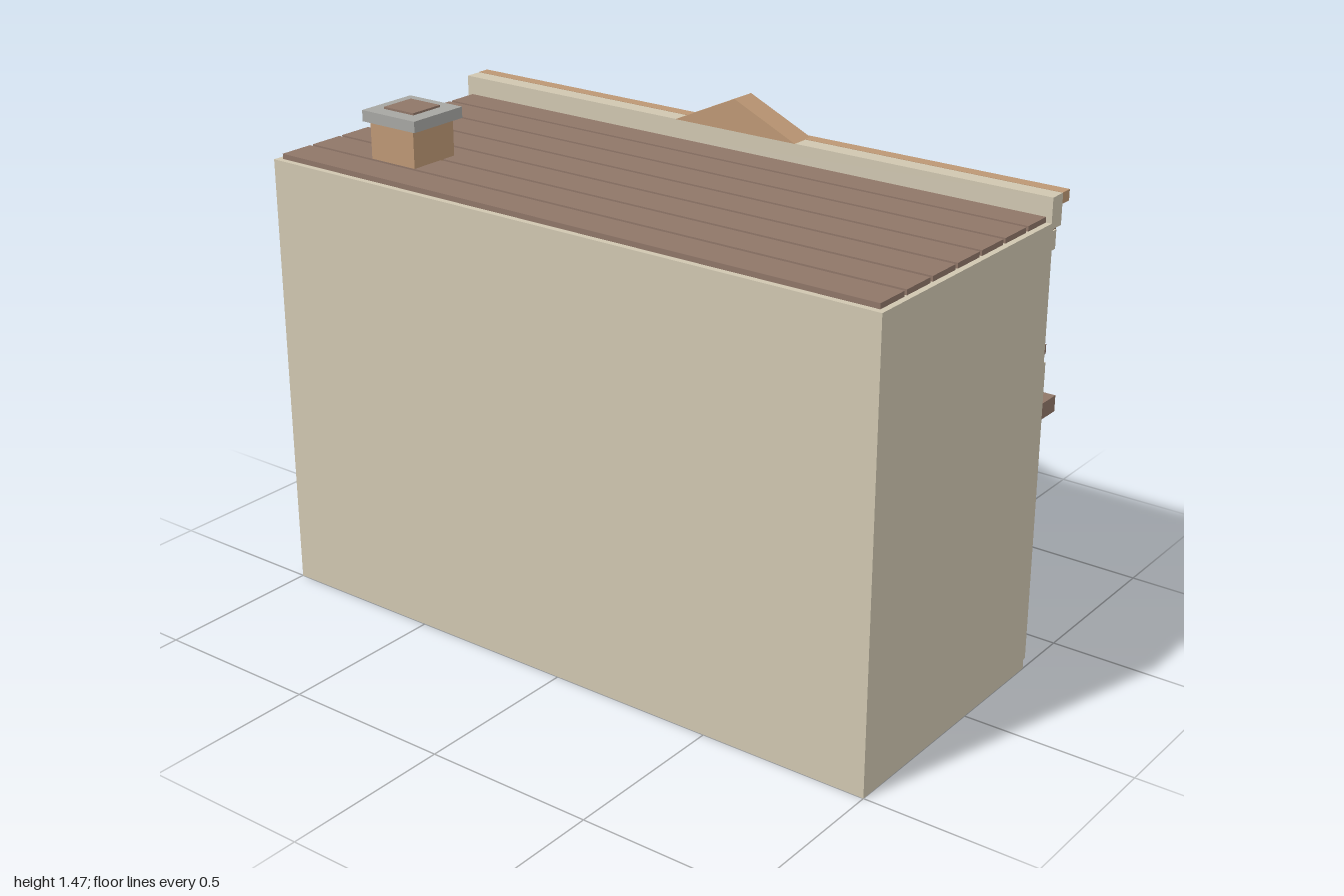
import * as THREE from 'three';

const mat = (name, color) => {
  const m = new THREE.MeshStandardMaterial({ color });
  m.name = name;
  return m;
};

export function createModel() {
  const root = new THREE.Group();
  root.name = 'saloonBuilding';
  const cream = mat('creamWall', 0xcfc6b0);
  const brown = mat('brownWood', 0x8f7668);
  const tan = mat('tanWood', 0xbc9774);
  const grey = mat('greyStone', 0xa6a6a2);
  const blue = mat('darkGlass', 0x565a7a);
  const yellow = mat('litGlass', 0xd0c187);
  const gold = mat('brass', 0xc8aa60);

  // Box given by its min and max corners
  const box = (parent, name, m, x0, x1, y0, y1, z0, z1) => {
    const mesh = new THREE.Mesh(new THREE.BoxGeometry(x1 - x0, y1 - y0, z1 - z0), m);
    mesh.position.set((x0 + x1) / 2, (y0 + y1) / 2, (z0 + z1) / 2);
    mesh.name = name;
    parent.add(mesh);
    return mesh;
  };
  const group = (name) => {
    const g = new THREE.Group();
    g.name = name;
    root.add(g);
    return g;
  };
  let seed = 7;
  const rand = () => (seed = (seed * 16807) % 2147483647) / 2147483647;

  // Main block
  box(root, 'mainWalls', cream, -1, 1, 0, 1.305, -0.32, 0.5);

  // Roof boards
  const roof = group('roof');
  for (let i = 0; i < 7; i++) {
    const z = 0.482 - i * 0.1165;
    box(roof, 'roofBoard', brown, -0.983, 0.983, 1.303, 1.32, z - 0.105, z);
  }

  // Chimney
  const chimney = group('chimney');
  box(chimney, 'chimneyStack', tan, -0.75, -0.59, 1.3, 1.43, 0.205, 0.365);
  box(chimney, 'chimneyCap', grey, -0.765, -0.57, 1.428, 1.46, 0.188, 0.38);
  box(chimney, 'chimneyFlue', brown, -0.725, -0.615, 1.45, 1.466, 0.228, 0.335);

  // Lower and upper facade boards with slightly uneven depth and height
  const boards = group('facadeBoards');
  for (let i = 0; i < 16; i++) {
    const x = -0.99 + i * 0.12375;
    const front = i % 15 === 0 ? -0.358 : -0.345 - rand() * 0.013;
    box(boards, 'lowerBoard', cream, x + 0.005, x + 0.119, 0.01, 0.89 + rand() * 0.025, front, -0.31);
    box(boards, 'upperBoard', cream, x + 0.005, x + 0.119, 0.9, 1.24, -0.324 - rand() * 0.006, -0.31);
  }

  // Parapet, trim and cornice
  const parapet = group('parapet');
  box(parapet, 'parapetLedge', cream, -0.99, 0.99, 1.222, 1.275, -0.358, -0.315);
  box(parapet, 'parapetStrip', brown, -0.985, 0.985, 1.27, 1.292, -0.366, -0.318);
  box(parapet, 'parapetWall', cream, -1, 1, 1.288, 1.375, -0.362, -0.31);
  box(parapet, 'cornice', tan, -1, 1, 1.345, 1.376, -0.398, -0.361);

  // Triangular pediment
  const tri = new THREE.Shape([[-0.205, 0], [0.205, 0], [0, 0.093]].map((p) => new THREE.Vector2(...p)));
  const pediment = new THREE.Mesh(new THREE.ExtrudeGeometry(tri, { depth: 0.08, bevelEnabled: false }), tan);
  pediment.name = 'pediment';
  pediment.position.set(0, 1.375, -0.388);
  root.add(pediment);

  // Rectangular frame of four bars
  const frame = (g, x0, x1, y0, y1, z0, z1, w) => {
    box(g, 'frameSide', brown, x0, x0 + w, y0, y1, z0, z1);
    box(g, 'frameSide', brown, x1 - w, x1, y0, y1, z0, z1);
    box(g, 'frameTop', brown, x0 + w, x1 - w, y1 - w, y1, z0, z1);
    box(g, 'frameBottom', brown, x0 + w, x1 - w, y0, y0 + w, z0, z1);
  };

  // Window: frame, glass, crossing bars and sill
  const window = (name, cx, hw, y0, y1, zFront, zWall, sillFront, glass) => {
    const g = group(name);
    const cy = (y0 + y1) / 2, w = 0.03, zg = zFront + 0.018;
    frame(g, cx - hw, cx + hw, y0, y1, zFront, zWall, w);
    box(g, 'glass', glass, cx - hw + w, cx + hw - w, y0 + w, y1 - w, zg, zg + 0.008);
    box(g, 'uprightBar', tan, cx - 0.007, cx + 0.007, y0 + w, y1 - w, zg - 0.009, zg);
    box(g, 'crossBar', tan, cx - hw + w, cx + hw - w, cy - 0.007, cy + 0.007, zg - 0.009, zg);
    box(g, 'sill', tan, cx - hw - 0.02, cx + hw + 0.02, y0 - 0.022, y0 + 0.01, sillFront, zWall);
  };
  for (const x of [-0.645, 0.645]) window('lowerWindow', x, 0.2, 0.212, 0.63, -0.388, -0.34, -0.404, blue);
  for (const x of [-0.73, -0.25, 0.25, 0.73]) {
    window('upperWindow', x, 0.157, 0.9, 1.22, -0.366, -0.315, -0.4, x === 0.25 ? yellow : blue);
  }

  // Door with planks and knob
  const door = group('door');
  frame(door, -0.205, 0.205, 0, 0.68, -0.4, -0.34, 0.032);
  box(door, 'doorBacking', brown, -0.175, 0.175, 0.03, 0.65, -0.374, -0.34);
  for (let i = 0; i < 4; i++) {
    const x = -0.173 + i * 0.0865;
    box(door, 'doorPlank', tan, x + 0.003, x + 0.0835, 0.034, 0.648, -0.386 - (i % 2) * 0.004, -0.37);
  }
  const knob = new THREE.Mesh(new THREE.SphereGeometry(0.013, 12, 8), gold);
  knob.name = 'doorKnob';
  knob.position.set(0.115, 0.3, -0.4);
  door.add(knob);

  // Porch: deck, posts and balcony railing
  const porch = group('porch');
  box(porch, 'balconyDeck', brown, -0.955, 0.95, 0.705, 0.752, -0.5, -0.33);
  for (const x of [-0.89, -0.3, 0.3, 0.89]) box(porch, 'porchPost', brown, x - 0.02, x + 0.02, 0, 0.71, -0.486, -0.446);
  box(porch, 'frontRail', brown, -0.92, 0.92, 0.872, 0.9, -0.484, -0.452);
  for (const x of [-0.905, 0.905]) box(porch, 'sideRail', brown, x - 0.015, x + 0.015, 0.872, 0.9, -0.452, -0.33);
  for (let i = -3; i <= 3; i++) box(porch, 'baluster', brown, i * 0.3 - 0.011, i * 0.3 + 0.011, 0.752, 0.874, -0.478, -0.456);

  // Hanging brass lamp
  const profile = [[0, 0], [0.012, 0.003], [0.024, 0.02], [0.025, 0.035], [0.015, 0.055], [0.009, 0.08],
    [0.008, 0.1], [0.014, 0.112], [0.012, 0.123], [0, 0.128]].map((p) => new THREE.Vector2(...p));
  const lamp = new THREE.Mesh(new THREE.LatheGeometry(profile, 12), gold);
  lamp.name = 'hangingLamp';
  lamp.position.set(0.86, 1.238, -0.411);
  root.add(lamp);

  return root;
}
